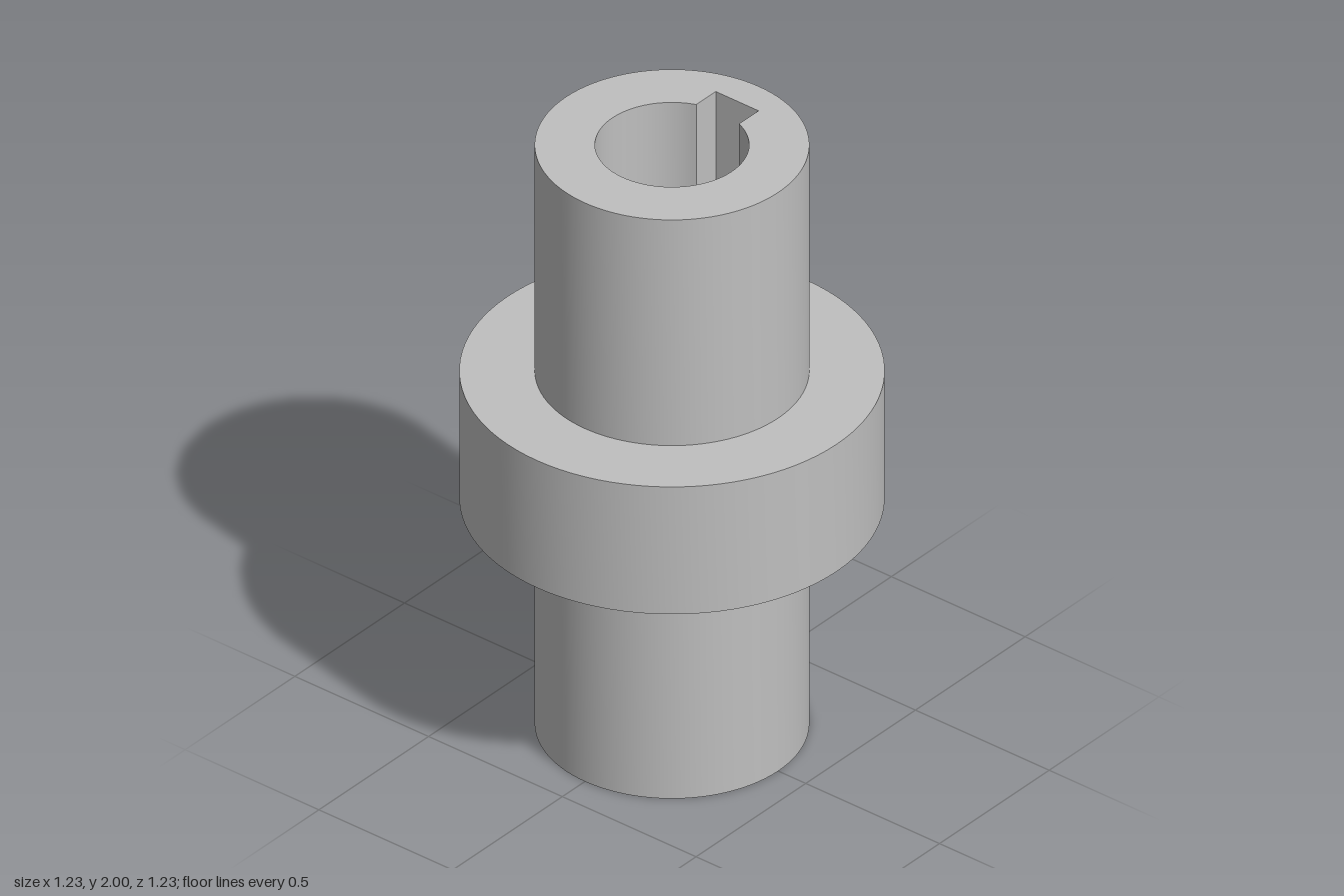
import * as THREE from 'three';
import { toCreasedNormals } from 'three/addons/utils/BufferGeometryUtils.js';

const HEIGHT = 2, SLEEVE_R = 0.397, FLANGE_R = 0.615, FLANGE_Y0 = 0.78, FLANGE_Y1 = 1.22;
const BORE_R = 0.223, KEY_HALF = 0.08, KEY_DEPTH = 0.297, SEGMENTS = 96;

// Bore outline, counter-clockwise, with a square keyway towards the back
function boreOutline() {
  const half = Math.asin(KEY_HALF / BORE_R);
  const points = [];
  for (let i = 0; i <= SEGMENTS; i++) {
    const a = Math.PI / 2 + half + (i / SEGMENTS) * (2 * Math.PI - 2 * half);
    points.push(new THREE.Vector2(BORE_R * Math.cos(a), BORE_R * Math.sin(a)));
  }
  points.push(new THREE.Vector2(KEY_HALF, KEY_DEPTH), new THREE.Vector2(-KEY_HALF, KEY_DEPTH));
  return points;
}

// Inward-facing walls along the outline
function boreWalls(outline) {
  const positions = [];
  outline.forEach((p, i) => {
    const q = outline[(i + 1) % outline.length];
    const p0 = [p.x, 0, -p.y], p1 = [p.x, HEIGHT, -p.y];
    const q0 = [q.x, 0, -q.y], q1 = [q.x, HEIGHT, -q.y];
    positions.push(...p0, ...p1, ...q1, ...p0, ...q1, ...q0);
  });
  const geometry = new THREE.BufferGeometry();
  geometry.setAttribute('position', new THREE.Float32BufferAttribute(positions, 3));
  return toCreasedNormals(geometry, 0.4);
}

export function createModel() {
  const group = new THREE.Group();
  group.name = 'flangedBushing';
  const steel = new THREE.MeshStandardMaterial({ color: 0xbfbfbf });
  steel.name = 'steel grey';
  const add = (name, geometry) => {
    const mesh = new THREE.Mesh(geometry, steel);
    mesh.name = name;
    group.add(mesh);
  };

  // Outer skin: lower sleeve, flange and upper sleeve in one profile
  const profile = [
    [SLEEVE_R, 0], [SLEEVE_R, FLANGE_Y0], [FLANGE_R, FLANGE_Y0],
    [FLANGE_R, FLANGE_Y1], [SLEEVE_R, FLANGE_Y1], [SLEEVE_R, HEIGHT],
  ].map(([r, y]) => new THREE.Vector2(r, y));
  add('sleeveAndFlange', toCreasedNormals(new THREE.LatheGeometry(profile, SEGMENTS), 0.4));

  // Bore with keyway
  const outline = boreOutline();
  add('keyedBore', boreWalls(outline));

  // End faces, pierced by the bore
  const ring = new THREE.Shape().absarc(0, 0, SLEEVE_R, 0, Math.PI * 2);
  ring.holes.push(new THREE.Path(outline));
  const face = () => new THREE.ShapeGeometry(ring, SEGMENTS / 2);
  add('topFace', face().rotateX(-Math.PI / 2).translate(0, HEIGHT, 0));
  add('bottomFace', face().rotateX(Math.PI / 2).rotateY(Math.PI));

  return group;
}
